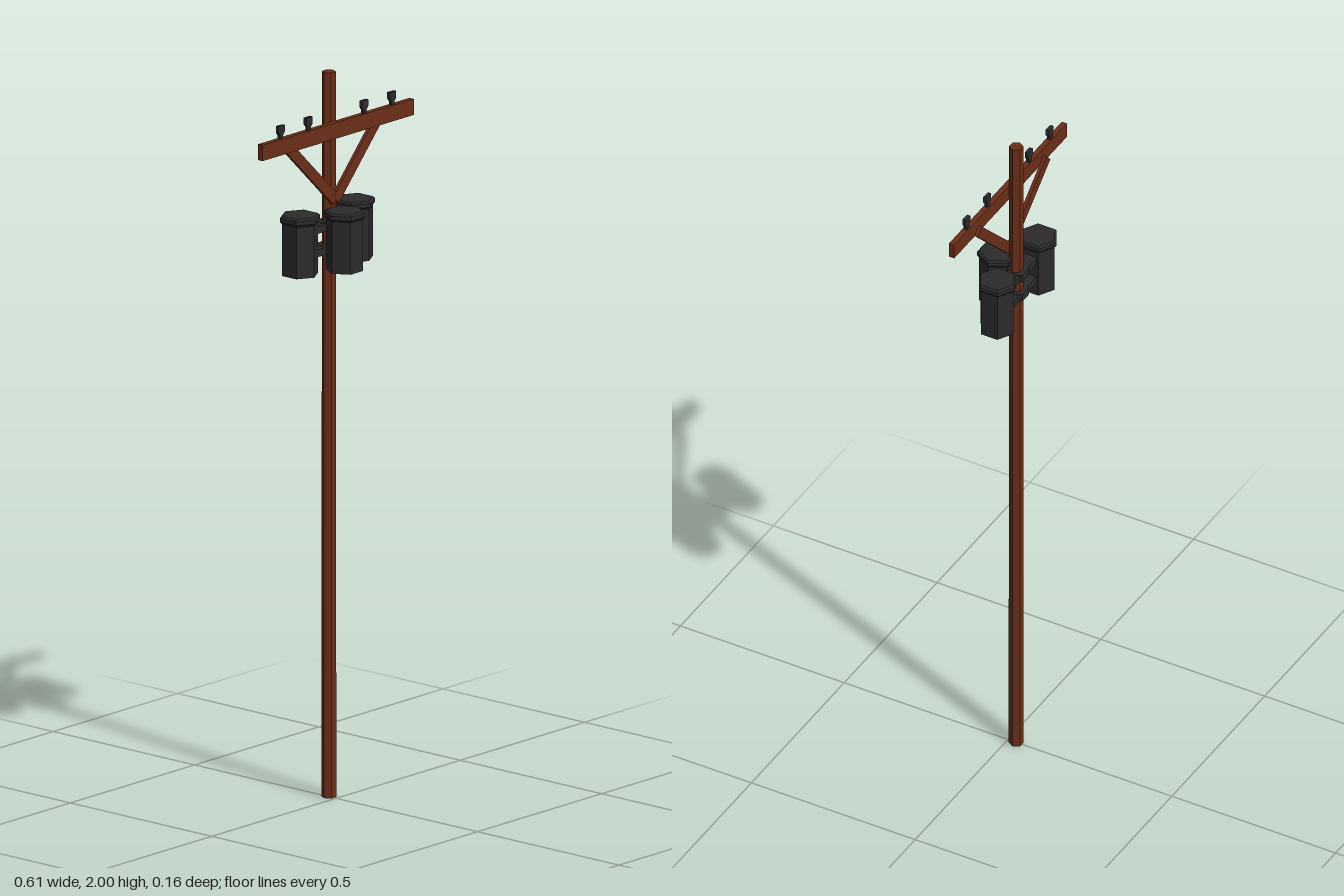
import * as THREE from 'three';

const wood = new THREE.MeshStandardMaterial({ color: 0x6b2e18, flatShading: true });
const iron = new THREE.MeshStandardMaterial({ color: 0x2b2b2b, flatShading: true });
const POLE_Z = -0.025;

function add(parent, name, geometry, material, x = 0, y = 0, z = 0) {
  const mesh = new THREE.Mesh(geometry, material);
  mesh.name = name;
  mesh.position.set(x, y, z);
  parent.add(mesh);
  return mesh;
}

// Flat timber strut running between two points, its wide side facing front
function strut(from, to, width, thickness) {
  const along = to.clone().sub(from);
  const length = along.length();
  const up = along.normalize();
  const side = new THREE.Vector3().crossVectors(up, new THREE.Vector3(0, 0, 1)).normalize();
  const out = new THREE.Vector3().crossVectors(side, up);
  const middle = from.clone().add(to).multiplyScalar(0.5);
  return new THREE.BoxGeometry(width, length, thickness)
    .applyMatrix4(new THREE.Matrix4().makeBasis(side, up, out).setPosition(middle));
}

// Six-sided can with a bevelled, overhanging lid
function transformer(x, z, turn) {
  const group = new THREE.Group();
  group.name = 'transformer';
  add(group, 'can', new THREE.CylinderGeometry(0.05, 0.05, 0.148, 6), iron, 0, 0.074, 0);
  const lid = [[0, 0.143], [0.05, 0.143], [0.056, 0.149], [0.056, 0.16], [0.05, 0.165], [0, 0.165]]
    .map(([r, y]) => new THREE.Vector2(r, y));
  add(group, 'lid', new THREE.LatheGeometry(lid, 6), iron);
  group.position.set(x, 1.463, z);
  group.rotation.y = turn;
  return group;
}

export function createModel() {
  const model = new THREE.Group();
  model.name = 'utilityPole';

  // Pole and crossarm
  add(model, 'pole', new THREE.CylinderGeometry(0.019, 0.02, 2, 6).rotateY(Math.PI / 6), wood, 0, 1, POLE_Z);
  add(model, 'crossarm', new THREE.BoxGeometry(0.608, 0.044, 0.016), wood, 0, 1.844, 0);

  // Braces from the front of the pole to the back of the crossarm
  for (const s of [-1, 1]) {
    const foot = new THREE.Vector3(0, 1.65, -0.004);
    const head = new THREE.Vector3(s * 0.185, 1.835, -0.014);
    add(model, 'brace', strut(foot, head, 0.03, 0.01), wood);
  }

  // Insulators: flat caps on narrower stems
  const outline = new THREE.Shape([[-0.006, 0], [0.006, 0], [0.006, 0.01], [0.0125, 0.018],
    [0.0125, 0.036], [-0.0125, 0.036], [-0.0125, 0.018], [-0.006, 0.01]].map(([x, y]) => new THREE.Vector2(x, y)));
  const insulator = new THREE.ExtrudeGeometry(outline, { depth: 0.01, bevelEnabled: false }).translate(0, 0, -0.005);
  for (const x of [-0.224, -0.112, 0.112, 0.224]) add(model, 'insulator', insulator, iron, x, 1.866, 0);

  // Transformers: one in front, one on each side
  model.add(transformer(-0.002, 0.032, Math.PI / 6));
  model.add(transformer(-0.113, -0.028, 0));
  model.add(transformer(0.108, -0.028, 0));

  // Two mounting collars with arms reaching the side transformers
  for (const y of [1.578, 1.514]) {
    add(model, 'collar', new THREE.CylinderGeometry(0.034, 0.034, 0.022, 6).rotateY(Math.PI / 6), iron, 0, y, POLE_Z);
    add(model, 'mountingArm', new THREE.BoxGeometry(0.16, 0.02, 0.04), iron, 0, y, -0.028);
  }
  return model;
}
